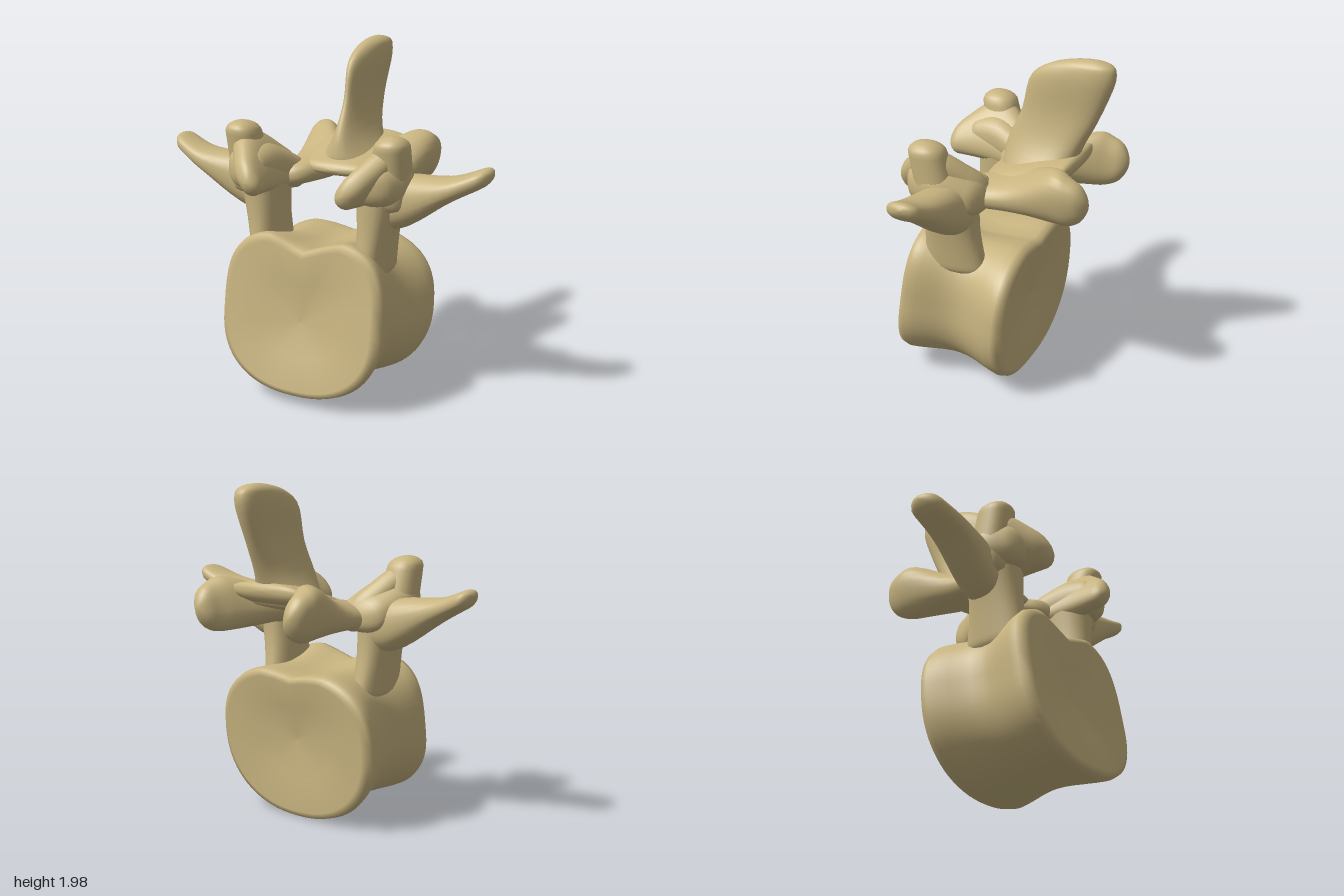
import * as THREE from 'three';

const bone = new THREE.MeshStandardMaterial({ color: 0xc8b480 });
bone.name = 'bone';

// Skin over equal-length rings of points; mirror builds the -x twin
function skin(rings, mirror = false) {
  const n = rings[0].length, pos = [], index = [];
  for (const ring of rings) for (const p of ring) pos.push(mirror ? -p.x : p.x, p.y, p.z);
  for (let i = 0; i < rings.length - 1; i++) {
    for (let j = 0; j < n; j++) {
      const a = i * n + j, b = i * n + (j + 1) % n, c = b + n, d = a + n;
      if (mirror) index.push(a, c, b, a, d, c);
      else index.push(a, b, c, a, c, d);
    }
  }
  const g = new THREE.BufferGeometry();
  g.setAttribute('position', new THREE.Float32BufferAttribute(pos, 3));
  g.setIndex(index);
  g.computeVertexNormals();
  return g;
}

const power = (v, e) => Math.sign(v) * Math.pow(Math.abs(v), e);

// Smooth limb with rounded ends. Row: [t, a, b, radiusA, radiusB], where
// (a, b) are (x, y) along z, (y, z) along x and (z, x) along y.
function limb(axis, rows, { mirror = false, taper = 0, tilt = 0, tip = 0.06 } = {}) {
  const centres = new THREE.CatmullRomCurve3(rows.map(r => new THREE.Vector3(r[1], r[2], r[0])), false, 'catmullrom');
  const sizes = new THREE.CatmullRomCurve3(rows.map(r => new THREE.Vector3(r[3], r[4], 0)), false, 'catmullrom');
  const start = rows[0][0], end = rows[rows.length - 1][0];
  const steps = 24, sides = 28, rings = [];
  const place = (a, b, t) => axis === 'z' ? new THREE.Vector3(a, b, t)
    : axis === 'x' ? new THREE.Vector3(t, a, b) : new THREE.Vector3(b, t, a);
  for (let i = 0; i <= steps; i++) {
    const u = (1 - Math.cos(Math.PI * i / steps)) / 2;
    const c = centres.getPoint(u), s = sizes.getPoint(u), ring = [];
    const d = THREE.MathUtils.clamp(Math.min(c.z - start, end - c.z) / tip, 0, 1);
    const scale = Math.sqrt(d * (2 - d));
    for (let j = 0; j < sides; j++) {
      const q = j / sides * Math.PI * 2;
      const a = scale * s.x * power(Math.cos(q), 0.85);
      const b = scale * s.y * power(Math.sin(q), 0.85) * (1 - taper * Math.cos(q));
      ring.push(place(c.x + a * Math.cos(tilt) - b * Math.sin(tilt),
        c.y + a * Math.sin(tilt) + b * Math.cos(tilt), c.z));
    }
    rings.push(ring);
  }
  return skin(rings, mirror);
}

// Spool-shaped body: notched oval ends, narrow waist, dished end faces
function bodyGeometry() {
  const middle = 0.48, sides = 72, lerp = THREE.MathUtils.lerp;
  const oval = (q, width, top, bottom, topPower, bottomPower, notch) => {
    const upper = Math.sin(q) > 0, e = upper ? topPower : bottomPower;
    const x = width * power(Math.cos(q), e);
    const dip = upper ? notch * Math.max(0, 1 - Math.abs(x) / 0.25) : 0;
    return [x, power(Math.sin(q), e) * (upper ? top : bottom) - dip];
  };
  const ring = (t, scale) => Array.from({ length: sides }, (_, j) => {
    const q = j / sides * Math.PI * 2, waist = Math.sin(Math.PI * t) ** 2;
    const back = oval(q, 0.56, 0.43, 0.485, 0.78, 0.9, 0.05);
    const front = oval(q, 0.505, 0.5, 0.42, 0.55, 0.85, 0.09);
    const x = lerp(back[0], front[0], t) * scale * (1 - 0.17 * waist);
    const y = middle + lerp(back[1], front[1], t) * scale * (1 - 0.07 * waist);
    return new THREE.Vector3(x, y, lerp(-0.12 - 0.08 * y, 0.61 - 0.16 * y, t));
  });
  const cap = [[0.075, 0], [0.05, 0.5], [0, 0.9], [0.025, 0.975]];
  const rings = cap.map(([t, s]) => ring(t, s));
  for (let i = 0; i <= 10; i++) rings.push(ring(0.08 + 0.084 * i, 1));
  for (const [t, s] of [...cap].reverse()) rings.push(ring(1 - t, s));
  return skin(rings);
}

export function createModel() {
  const group = new THREE.Group();
  group.name = 'vertebra';
  const add = (name, geometry) => {
    const mesh = new THREE.Mesh(geometry, bone);
    mesh.name = name;
    group.add(mesh);
  };
  const addPair = (name, axis, rows, options) => {
    add('left' + name, limb(axis, rows, options));
    add('right' + name, limb(axis, rows, { ...options, mirror: true }));
  };

  add('body', bodyGeometry());

  // Stalks joining the body to the arch
  addPair('Pedicle', 'y', [
    [0.72, 0.21, 0.33, 0.2, 0.08], [1.01, 0.22, 0.355, 0.165, 0.1], [1.29, 0.22, 0.38, 0.17, 0.14]]);

  // Side wings
  addPair('TransverseProcess', 'x', [
    [0.28, 1.15, 0.19, 0.13, 0.13], [0.5, 1.185, 0.19, 0.15, 0.13],
    [0.78, 1.29, 0.215, 0.07, 0.115], [1, 1.39, 0.18, 0.05, 0.09]]);

  // Forward joint blades, the knobs beside them and the mass between
  addPair('SuperiorProcess', 'z', [
    [0, 0.29, 1.22, 0.1, 0.07], [0.28, 0.385, 1.34, 0.2, 0.09], [0.56, 0.3, 1.265, 0.08, 0.06]], { tilt: 0.98 });
  addPair('MamillaryKnob', 'y', [
    [1.12, 0.22, 0.43, 0.13, 0.13], [1.565, 0.315, 0.475, 0.1, 0.09]]);
  addPair('ArticularMass', 'z', [
    [0, 0.33, 1.22, 0.14, 0.09], [0.25, 0.41, 1.3, 0.16, 0.14], [0.46, 0.38, 1.3, 0.1, 0.1]]);

  // Arch plates running back into the rear joints
  addPair('InferiorProcess', 'z', [
    [-0.585, 0.33, 1.285, 0.05, 0.08], [-0.48, 0.325, 1.285, 0.085, 0.14], [-0.37, 0.295, 1.295, 0.115, 0.155],
    [-0.1, 0.21, 1.25, 0.17, 0.09], [0.2, 0.29, 1.22, 0.11, 0.06]], { tilt: -0.2 });

  // Bridge that closes the arch at the middle
  add('archRoof', limb('z', [
    [-0.42, 0, 1.395, 0.25, 0.05], [-0.2, 0, 1.335, 0.26, 0.075], [0.11, 0, 1.275, 0.2, 0.035]], { tip: 0.04 }));

  // Tall blade, flared at its foot and thinner along its front edge
  add('spinousProcess', limb('y', [
    [1.27, -0.14, 0, 0.2, 0.22], [1.46, -0.19, 0, 0.225, 0.1], [1.65, -0.28, 0, 0.23, 0.06],
    [1.87, -0.355, 0, 0.24, 0.07], [1.985, -0.45, 0, 0.13, 0.055]], { taper: 0.3, tip: 0.04 }));

  return group;
}
